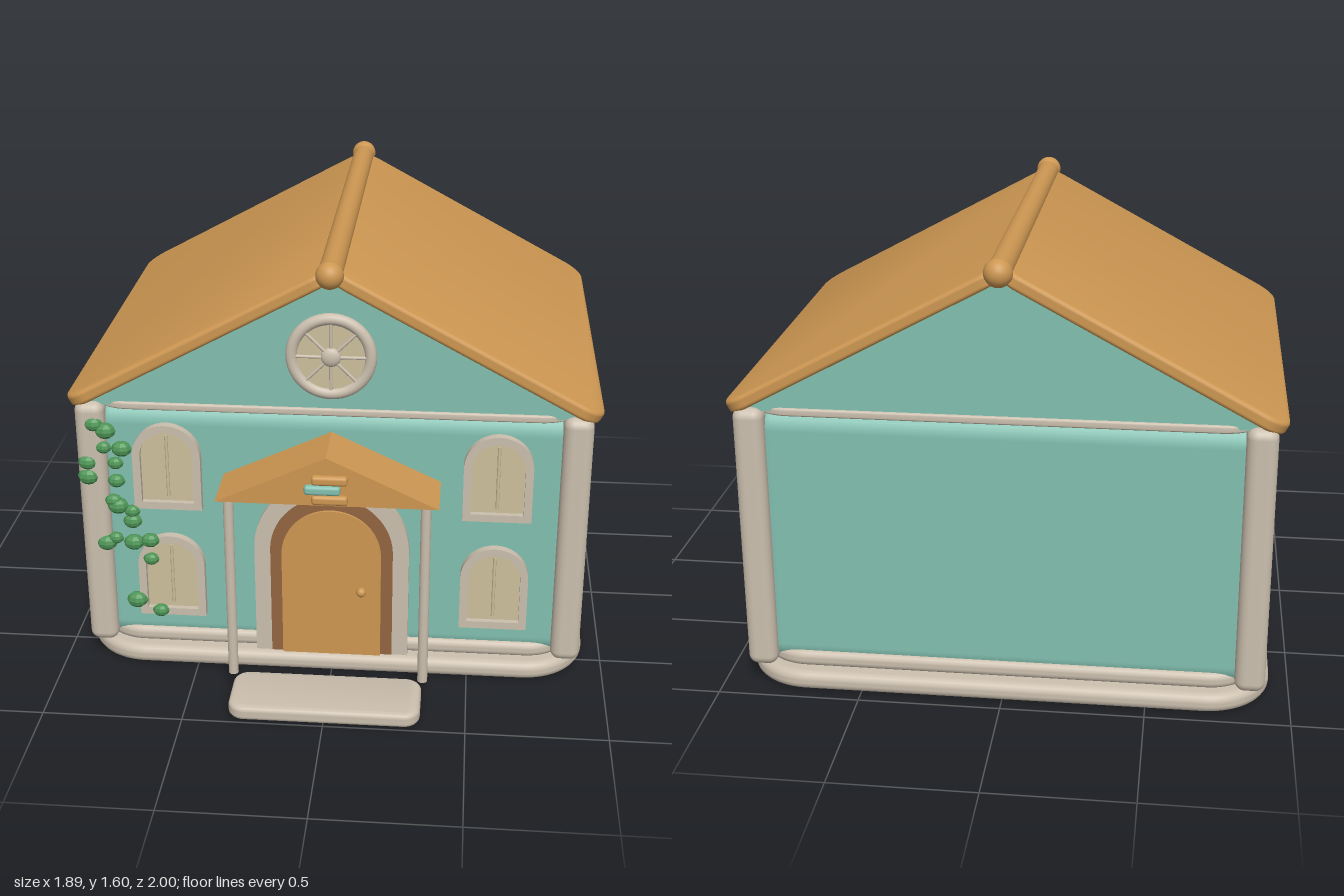
import * as THREE from 'three';
import { toCreasedNormals } from 'three/addons/utils/BufferGeometryUtils.js';
import { RoundedBoxGeometry } from 'three/addons/geometries/RoundedBoxGeometry.js';

const mat = (name, color, extra = {}) => Object.assign(new THREE.MeshStandardMaterial({ color, ...extra }), { name });

export function createModel() {
  const teal = mat('teal wall', 0x82bfb0);
  const cream = mat('cream trim', 0xcbbfae);
  const orange = mat('orange wood', 0xcd9752);
  const brown = mat('brown wood', 0x926540);
  const pane = mat('window pane', 0xccc09c);
  const leaf = mat('ivy green', 0x4f9657, { flatShading: true });

  const house = new THREE.Group();
  house.name = 'house';
  const CZ = -0.15; // middle of the building in depth

  const add = (name, geo, material, x = 0, y = 0, z = 0, parent = house) => {
    const m = new THREE.Mesh(geo, material);
    m.name = name;
    m.position.set(x, y, z);
    parent.add(m);
    return m;
  };

  // Flat slab with rounded plan corners and softened edges, centred on its middle
  const slab = (w, h, d, r, b) => {
    const x = w / 2 - b, y = d / 2 - b;
    const s = new THREE.Shape();
    s.moveTo(-x + r, -y).lineTo(x - r, -y);
    s.absarc(x - r, -y + r, r, -Math.PI / 2, 0);
    s.absarc(x - r, y - r, r, 0, Math.PI / 2);
    s.absarc(-x + r, y - r, r, Math.PI / 2, Math.PI);
    s.absarc(-x + r, -y + r, r, Math.PI, Math.PI * 1.5);
    const g = new THREE.ExtrudeGeometry(s, {
      depth: h - 2 * b, bevelThickness: b, bevelSize: b, bevelSegments: 4, curveSegments: 10,
    });
    g.translate(0, 0, b - h / 2);
    g.rotateX(-Math.PI / 2);
    return toCreasedNormals(g, 0.7);
  };

  // Round-headed outline standing on y = bottom
  const trace = (path, half, bottom, top) => {
    path.moveTo(-half, bottom).lineTo(half, bottom).lineTo(half, top - half);
    path.absarc(0, top - half, half, 0, Math.PI);
    path.lineTo(-half, bottom);
    return path;
  };
  const arch = (half, bottom, top, depth, hole) => {
    const s = trace(new THREE.Shape(), half, bottom, top);
    if (hole) s.holes.push(trace(new THREE.Path(), ...hole));
    const g = new THREE.ExtrudeGeometry(s, { depth, bevelEnabled: false, curveSegments: 20 });
    return toCreasedNormals(g, 0.6);
  };
  const prism = (half, base, apex, z0, z1) => {
    const s = new THREE.Shape();
    s.moveTo(-half, base).lineTo(half, base).lineTo(0, apex);
    const g = new THREE.ExtrudeGeometry(s, { depth: z1 - z0, bevelEnabled: false });
    return g.translate(0, 0, z0);
  };

  // Plinth, walls and trim bands
  add('plinth', slab(1.86, 0.07, 1.62, 0.2, 0.03), cream, 0, 0.035, CZ);
  add('walls', new RoundedBoxGeometry(1.74, 0.97, 1.5, 5, 0.08), teal, 0, 0.555, CZ);
  add('lowerBand', slab(1.77, 0.06, 1.53, 0.15, 0.025), cream, 0, 0.1, CZ);
  add('upperBand', slab(1.77, 0.03, 1.53, 0.15, 0.012), cream, 0, 1.035, CZ);
  for (const sx of [-1, 1]) for (const z of [0.585, -0.885])
    add('cornerPillar', new RoundedBoxGeometry(0.105, 0.97, 0.11, 4, 0.035), cream, sx * 0.857, 0.562, z);

  // Gable and main roof
  add('gable', prism(0.9, 1.035, 1.525, -0.905, 0.605), teal);
  const pitch = Math.atan2(0.515, 0.95);
  for (const s of [-1, 1])
    add('roofSlope', slab(1.08, 0.05, 1.57, 0.07, 0.015), orange, s * 0.463, 1.29, CZ).rotation.z = -s * pitch;
  const ridge = new THREE.CylinderGeometry(0.042, 0.042, 1.6, 20);
  add('ridgePole', ridge.rotateX(Math.PI / 2), orange, 0, 1.548, CZ);
  for (const z of [0.65, -0.952])
    add('ridgeBall', new THREE.SphereGeometry(0.048, 24, 16), orange, 0, 1.552, z);

  // Arched windows: two pairs in front, three pairs on each side
  const makeWindow = (half, height, rim, x, y, z, turn, bar) => {
    const g = new THREE.Group();
    g.name = 'window';
    add('windowFrame', arch(half, 0, height, 0.04, [half - rim, rim, height - rim]), cream, 0, 0, 0, g);
    add('windowPane', arch(half - rim, rim, height - rim, 0.02), pane, 0, 0, 0, g);
    if (bar) add('windowBar', new THREE.CylinderGeometry(0.006, 0.006, height - 0.09, 8), pane, 0, height / 2, 0.02, g);
    g.position.set(x, y, z);
    g.rotation.y = turn;
    house.add(g);
  };
  for (const s of [-1, 1]) for (const y of [0.2, 0.64]) {
    makeWindow(0.122, 0.33, 0.028, s * 0.588, y, 0.59, 0, true);
    for (const z of [0.245, -0.15, -0.545])
      makeWindow(0.108, 0.307, 0.024, s * 0.86, y, z, s * Math.PI / 2, false);
  }

  // Round gable window with spokes
  const rose = new THREE.Group();
  rose.name = 'roundWindow';
  rose.position.set(0, 1.245, 0.608);
  house.add(rose);
  add('roundFrame', new THREE.TorusGeometry(0.137, 0.021, 14, 48), cream, 0, 0, 0, rose);
  add('roundPane', new THREE.CylinderGeometry(0.13, 0.13, 0.016, 40).rotateX(Math.PI / 2), pane, 0, 0, 0, rose);
  for (let i = 0; i < 4; i++)
    add('spoke', new THREE.CylinderGeometry(0.006, 0.006, 0.25, 8), cream, 0, 0, 0.008, rose).rotation.z = i * Math.PI / 4;
  add('hub', new THREE.SphereGeometry(0.035, 20, 12).scale(1, 1, 0.5), cream, 0, 0, 0.008, rose);

  // Door
  add('doorSurround', arch(0.28, 0.07, 0.78, 0.04, [0.22, 0.07, 0.715]), cream, 0, 0, 0.59);
  add('doorFrame', arch(0.222, 0.07, 0.715, 0.042), brown, 0, 0, 0.59);
  add('door', arch(0.18, 0.07, 0.663, 0.052), orange, 0, 0, 0.59);
  add('doorKnob', new THREE.SphereGeometry(0.018, 16, 12), orange, 0.11, 0.345, 0.655);

  // Porch: step, posts, little roof and the stacked blocks on it
  add('step', slab(0.68, 0.055, 0.24, 0.04, 0.018), cream, 0, 0.033, 0.88);
  for (const s of [-1, 1])
    add('porchPost', new THREE.CylinderGeometry(0.018, 0.018, 0.71, 16), cream, s * 0.342, 0.43, 0.797);
  add('porchRoof', prism(0.387, 0.777, 0.957, 0.6, 0.815), orange);
  [[0.012, 0.802, orange], [-0.013, 0.839, teal], [0.012, 0.876, orange]].forEach(([x, y, m]) =>
    add('stackedBlock', new RoundedBoxGeometry(0.125, 0.035, 0.035, 3, 0.012), m, x, y, 0.817));

  // Ivy climbing the front corner
  const ivy = [
    [-0.84, 0.97], [-0.8, 0.945], [-0.81, 0.88], [-0.745, 0.877], [-0.87, 0.82], [-0.77, 0.82], [-0.87, 0.764],
    [-0.77, 0.75], [-0.785, 0.67], [-0.77, 0.65], [-0.72, 0.63], [-0.72, 0.59], [-0.82, 0.497], [-0.785, 0.518],
    [-0.72, 0.503], [-0.66, 0.513], [-0.66, 0.436], [-0.72, 0.262], [-0.634, 0.22],
  ];
  ivy.forEach(([x, y], i) => {
    const r = 0.031 + 0.005 * Math.sin(i * 2.3);
    add('ivyLeaf', new THREE.SphereGeometry(r, 8, 6).scale(1.1, 0.85, 0.8), leaf, x, y, 0.632);
  });

  return house;
}
